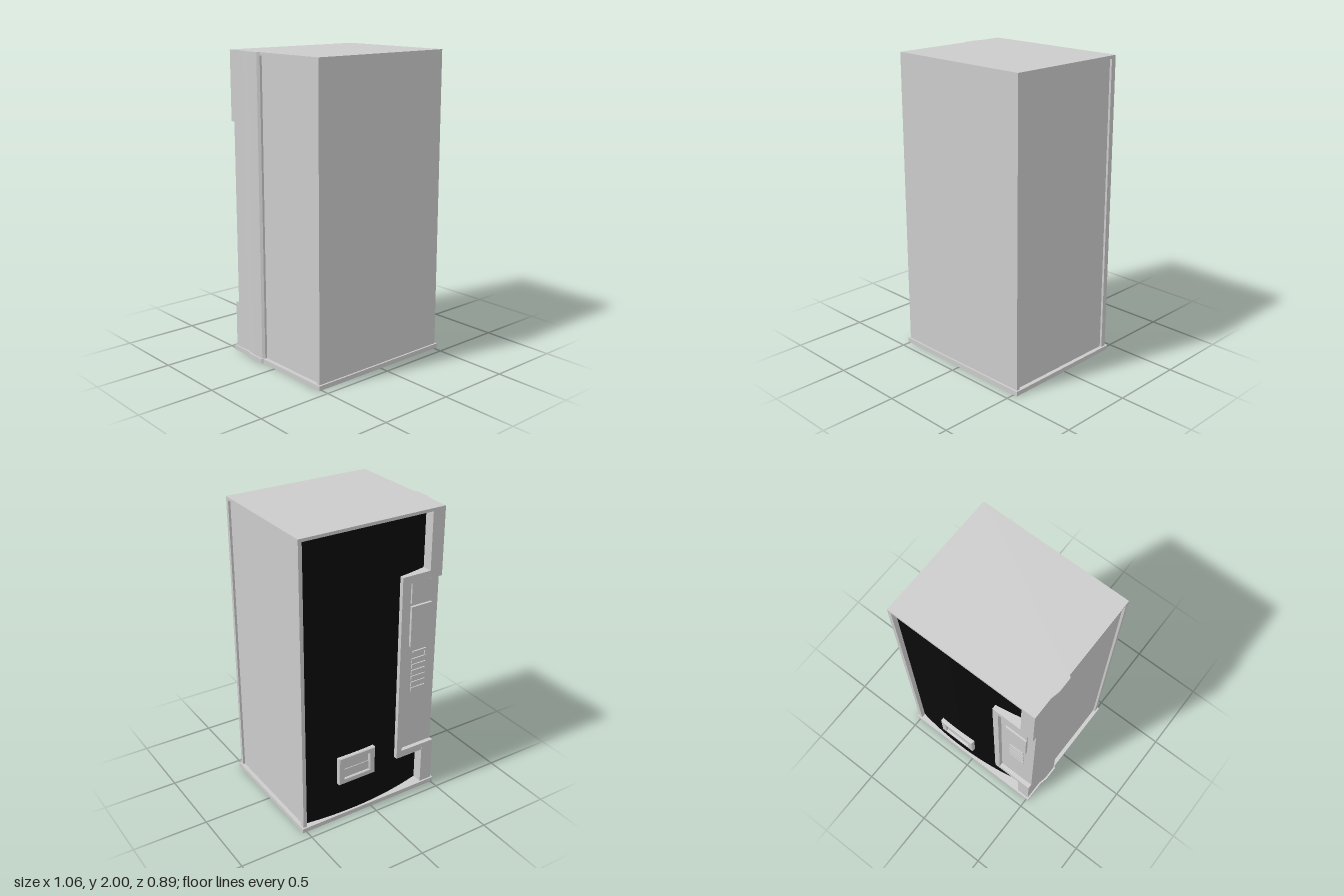
import * as THREE from 'three';

const grey = new THREE.MeshStandardMaterial({ color: 0xcccccc });
const black = new THREE.MeshStandardMaterial({ color: 0x0a0a0a });

function add(group, name, geometry, material = grey) {
  const mesh = new THREE.Mesh(geometry, material);
  mesh.name = name;
  group.add(mesh);
  return mesh;
}

// Upright prism from a plan outline of [x, z] points, between two heights
function prism(outline, y0, y1) {
  const shape = new THREE.Shape(outline.map(([x, z]) => new THREE.Vector2(x, -z)));
  const g = new THREE.ExtrudeGeometry(shape, { depth: y1 - y0, bevelEnabled: false });
  return g.rotateX(-Math.PI / 2).translate(0, y0, 0);
}

// Box given by its limits on each axis
function box(x0, x1, y0, y1, z0, z1) {
  return new THREE.BoxGeometry(x1 - x0, y1 - y0, z1 - z0)
    .translate((x0 + x1) / 2, (y0 + y1) / 2, (z0 + z1) / 2);
}

// Plan outline of the cabinet, grown by d, with the bulge on one side
const outline = (d) => [
  [-0.505 - d, 0.43 + d], [0.515 + d, 0.43 + d], [0.515 + d, -0.425 - d], [-0.505 - d, -0.425 - d],
  [-0.505 - d, -0.285], [-0.518 - d, -0.225], [-0.518 - d, -0.13], [-0.505 - d, -0.115],
];

// Plan section of the cabinet with recessed sides; zf is the face of the control column
const section = (zf) => [
  [-0.505, 0.43], [0.515, 0.43], [0.515, 0.405], [0.5, 0.405], [0.5, -0.39], [0.515, -0.39],
  [0.515, -0.425], [0.49, -0.425], [0.49, -0.33], [-0.415, -0.33], [-0.415, zf], [-0.505, zf],
  [-0.505, -0.285], [-0.518, -0.225], [-0.518, -0.13], [-0.505, -0.115],
  [-0.49, -0.115], [-0.49, 0.405], [-0.505, 0.405],
];

export function createModel() {
  const model = new THREE.Group();
  model.name = 'vendingMachine';
  const panelZ = -0.395;

  // Cabinet: base plate, three storeys of wall, top plate
  add(model, 'basePlate', prism(outline(0.012), 0, 0.03));
  add(model, 'lowerCabinet', prism(section(-0.425), 0.03, 0.34));
  add(model, 'middleCabinet', prism(section(panelZ), 0.34, 1.55));
  add(model, 'upperCabinet', prism(section(-0.425), 1.55, 1.98));
  add(model, 'topPlate', prism(outline(0), 1.98, 2));

  // Bowed dark display panel
  const bow = new THREE.QuadraticBezierCurve(
    new THREE.Vector2(0.49, -0.393), new THREE.Vector2(0.04, -0.463), new THREE.Vector2(-0.415, -0.355));
  const bowPoints = bow.getPoints(20).map((p) => [p.x, p.y]);
  add(model, 'displayPanel', prism([...bowPoints, [-0.415, -0.325], [0.49, -0.325]], 0.03, 1.98), black);

  // Control panel: C-shaped rim around a sunken face that is open at the side
  const controls = new THREE.Group();
  controls.name = 'controlPanel';
  model.add(controls);
  const rim = new THREE.Shape([
    [-0.415, 0.29], [-0.21, 0.29], [-0.21, 1.6], [-0.415, 1.6],
    [-0.415, 1.55], [-0.25, 1.55], [-0.25, 0.34], [-0.415, 0.34],
  ].map(([x, y]) => new THREE.Vector2(x, y)));
  add(controls, 'controlRim',
    new THREE.ExtrudeGeometry(rim, { depth: 0.095, bevelEnabled: false }).translate(0, 0, -0.424));
  add(controls, 'controlFace', box(-0.42, -0.245, 0.335, 1.555, panelZ, -0.32));
  add(controls, 'upperPlate', box(-0.45, -0.295, 1.4, 1.55, panelZ - 0.012, panelZ));
  add(controls, 'lowerPlate', box(-0.45, -0.295, 1.1, 1.38, panelZ - 0.018, panelZ));
  add(controls, 'coinSlot', box(-0.43, -0.325, 1.045, 1.058, panelZ - 0.01, panelZ));
  add(controls, 'coinSlotEnd', box(-0.43, -0.42, 1.015, 1.05, panelZ - 0.01, panelZ));
  for (let i = 0; i < 6; i++) {
    const y = 0.99 - i * 0.043;
    add(controls, 'selectionButton', box(-0.43, -0.32, y - 0.015, y + 0.015, panelZ - 0.008, panelZ));
  }

  // Delivery hatch: chamfered frame and a two-part flap
  const hatch = new THREE.Group();
  hatch.name = 'deliveryHatch';
  model.add(hatch);
  const rect = (Type, x0, x1, y0, y1) => new Type(
    [[x0, y0], [x1, y0], [x1, y1], [x0, y1]].map(([x, y]) => new THREE.Vector2(x, y)));
  const frame = rect(THREE.Shape, -0.015, 0.25, 0.275, 0.465);
  frame.holes.push(rect(THREE.Path, 0.017, 0.218, 0.303, 0.437));
  add(hatch, 'hatchFrame', new THREE.ExtrudeGeometry(frame, {
    depth: 0.05, bevelEnabled: true, bevelSegments: 1, bevelSize: 0.005, bevelThickness: 0.005,
  }).translate(0, 0, -0.44));
  add(hatch, 'upperFlap', box(0.01, 0.225, 0.37, 0.445, -0.425, -0.38));
  add(hatch, 'lowerFlap', box(0.01, 0.225, 0.295, 0.37, -0.43, -0.38));

  return model;
}
